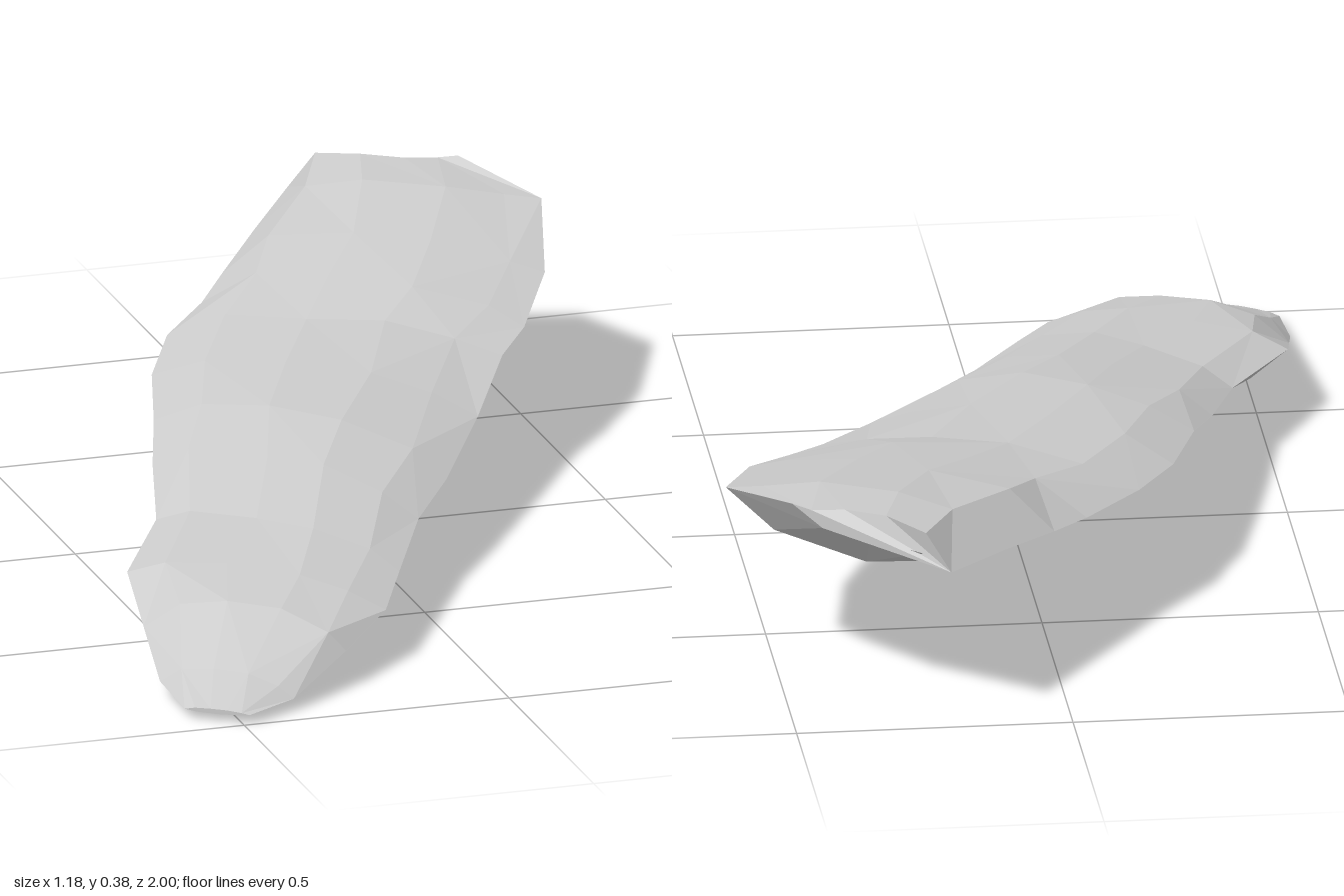
import * as THREE from 'three';

// Stations from the low front tip to the high back end:
// left edge x, y, z, right edge x, y, z, crown height, underside height
const STATIONS = [
  [-0.59, 0.02, 0.93, -0.49, 0.02, 1.0, 0.025, 0.016],
  [-0.595, 0.03, 0.8, -0.39, 0.025, 0.95, 0.065, 0.002],
  [-0.575, 0.08, 0.64, -0.26, 0.07, 0.85, 0.138, 0.012],
  [-0.555, 0.13, 0.48, -0.15, 0.1, 0.74, 0.158, 0.035],
  [-0.43, 0.145, 0.26, -0.08, 0.12, 0.6, 0.177, 0.065],
  [-0.37, 0.175, 0.05, 0.02, 0.145, 0.4, 0.222, 0.088],
  [-0.32, 0.205, -0.1, 0.12, 0.16, 0.25, 0.252, 0.103],
  [-0.26, 0.22, -0.3, 0.25, 0.195, 0.03, 0.268, 0.15],
  [-0.18, 0.235, -0.46, 0.36, 0.235, -0.17, 0.287, 0.167],
  [-0.07, 0.24, -0.6, 0.43, 0.252, -0.26, 0.315, 0.187],
  [0.0, 0.255, -0.7, 0.52, 0.295, -0.42, 0.342, 0.195],
  [0.11, 0.28, -0.85, 0.59, 0.35, -0.66, 0.374, 0.235],
  [0.22, 0.3, -1.0, 0.49, 0.383, -0.84, 0.38, 0.332],
];

// Cross-section: fraction across the slab, pull towards a face, top (0) or underside (1)
const SECTION = [
  [0, 0, 0], [0.16, 0.82, 0], [0.4, 1, 0], [0.66, 0.95, 0], [0.88, 0.5, 0],
  [1, 0, 0], [0.81, 0.62, 1], [0.5, 1, 1], [0.18, 0.75, 1],
];

function seeded(seed) {
  return () => {
    seed = (seed * 16807) % 2147483647;
    return seed / 2147483647 - 0.5;
  };
}

export function createModel() {
  const group = new THREE.Group();
  group.name = 'rockSlab';
  const rand = seeded(4711);
  const n = SECTION.length;
  const last = STATIONS.length - 1;
  const positions = [];
  const index = [];

  // Rings, with slight chipping away from the edges and a dent in the back end
  STATIONS.forEach(([lx, ly, lz, rx, ry, rz, top, bottom], i) => {
    for (const [t, pull, face] of SECTION) {
      const chip = pull && i > 1 && i < last ? 1 : 0;
      const dent = i === last && t > 0.3 && t < 0.7 ? 0.025 : 0;
      const edgeY = THREE.MathUtils.lerp(ly, ry, t);
      positions.push(
        THREE.MathUtils.lerp(lx, rx, t) + chip * rand() * 0.025,
        THREE.MathUtils.lerp(edgeY, face ? bottom : top, pull) + chip * rand() * 0.005,
        THREE.MathUtils.lerp(lz, rz, t) + chip * rand() * 0.035 + dent,
      );
    }
  });

  // Skin between rings, alternating the diagonals for an irregular faceted look
  for (let i = 0; i < last; i++) {
    for (let j = 0; j < n; j++) {
      const a = i * n + j;
      const b = i * n + ((j + 1) % n);
      const c = a + n;
      const d = b + n;
      if ((i + j) % 2) index.push(a, b, c, b, d, c);
      else index.push(a, b, d, a, d, c);
    }
  }

  // End caps
  const end = last * n;
  for (let j = 1; j < n - 1; j++) {
    index.push(0, j + 1, j);
    index.push(end, end + j, end + j + 1);
  }

  const geometry = new THREE.BufferGeometry();
  geometry.setAttribute('position', new THREE.Float32BufferAttribute(positions, 3));
  geometry.setIndex(index);
  geometry.computeVertexNormals();

  const slab = new THREE.Mesh(
    geometry,
    new THREE.MeshStandardMaterial({ color: 0xcccccc, flatShading: true }),
  );
  slab.name = 'slab';
  group.add(slab);
  return group;
}
